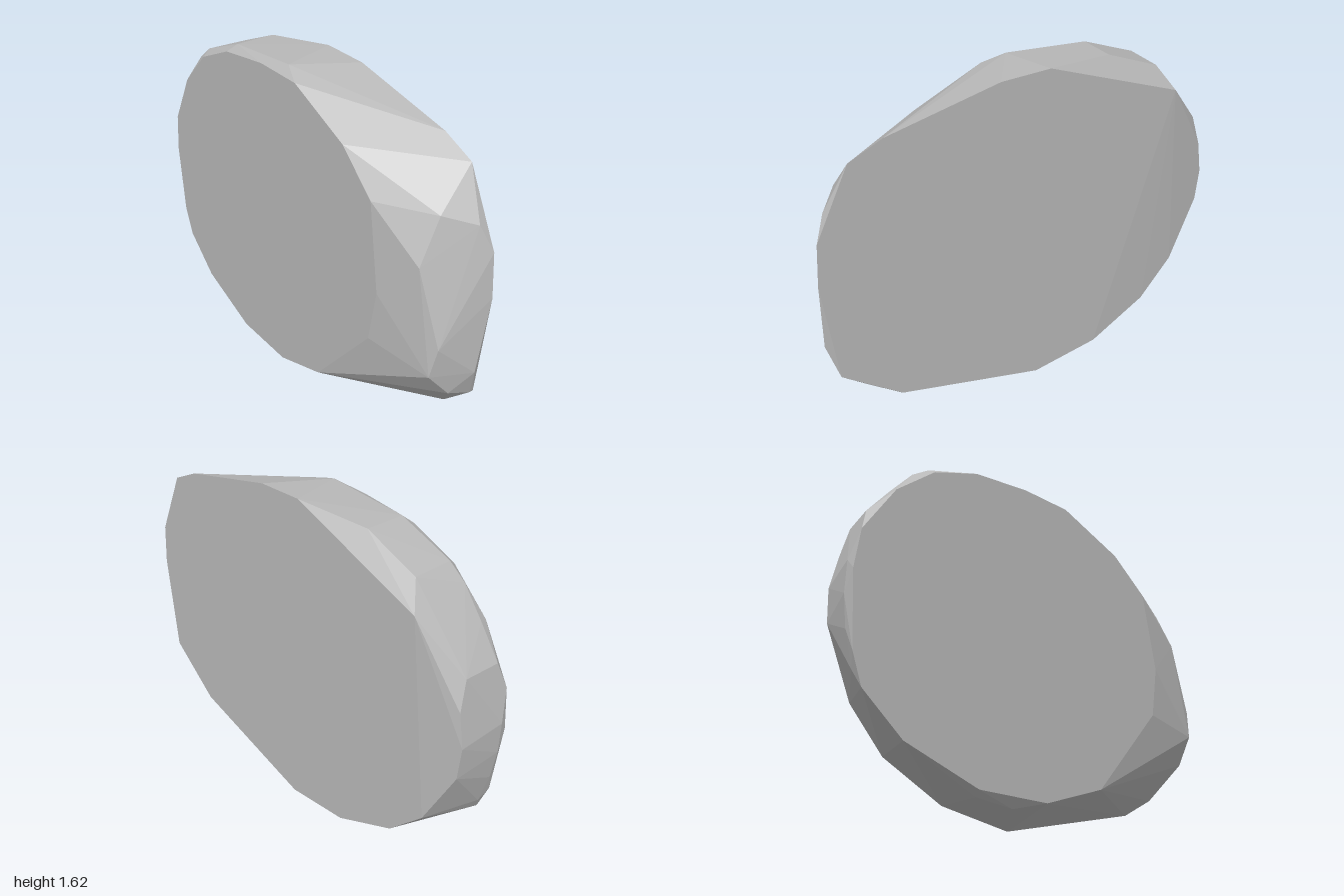
import * as THREE from 'three';
import { ConvexGeometry } from 'three/addons/geometries/ConvexGeometry.js';

export function createModel() {
  const group = new THREE.Group();
  group.name = 'flatStone';
  const stoneGrey = new THREE.MeshStandardMaterial({ color: 0xb8b8b8, flatShading: true });
  stoneGrey.name = 'stoneGrey';

  const points = [];
  const add = (x, y, z) => points.push(new THREE.Vector3(x, y, z));
  const ring = (x, pairs) => pairs.forEach(([z, y]) => add(x, y, z));

  // flat left face, as [z, y]
  ring(0.15, [
    [-0.07, 1.62], [0.16, 1.61], [0.67, 1.49], [0.82, 1.42], [0.98, 1.1], [1, 0.9],
    [0.96, 0.4], [0.69, 0.18], [-0.02, 0], [-0.36, 0.06], [-0.73, 1.38],
  ]);

  // flat right face, as [z, y]
  ring(-0.15, [
    [0.1, 1.57], [-0.15, 1.58], [-0.43, 1.55], [-0.65, 1.46], [-0.83, 1.29], [-0.97, 1.04],
    [-0.99, 0.85], [-0.96, 0.5], [-0.91, 0.36], [-0.72, 0.19], [-0.37, 0.06], [-0.03, 0.06],
    [0.27, 0.17], [0.62, 0.6], [0.66, 0.85], [0.6, 1.25], [0.42, 1.42],
  ]);

  // widest line of the back rim, as [z, y]
  ring(-0.11, [
    [0.0, 1.61], [-0.4, 1.585], [-0.66, 1.49], [-0.74, 1.43], [-0.84, 1.3], [-0.94, 1.16],
    [-1, 0.9], [-1, 0.75], [-0.98, 0.6], [-0.94, 0.44], [-0.83, 0.3], [-0.67, 0.18],
    [-0.36, 0.04], [-0.18, 0.02],
  ]);

  // chipped bevel at the back of the left face
  add(0.08, 1.59, -0.4);
  add(0.08, 1.49, -0.66);
  add(0.06, 1.16, -0.93);
  add(0.1, 1.03, -0.95);
  add(0.1, 0.87, -0.98);
  add(0.1, 0.71, -0.97);
  add(0.12, 0.4, -0.83);
  add(0.13, 0.21, -0.66);

  // chipped front rim
  add(0.11, 1.21, 0.93);
  add(0.1, 0.55, 1);
  add(0.13, 0.4, 0.96);
  add(0.12, 0.27, 0.83);
  add(0.01, 0.45, 0.95);
  add(-0.09, 0.57, 0.93);
  add(-0.07, 0.71, 0.95);
  add(-0.1, 1.05, 0.84);
  add(-0.01, 1.25, 0.84);

  const stone = new THREE.Mesh(new ConvexGeometry(points), stoneGrey);
  stone.name = 'stone';
  group.add(stone);
  return group;
}
